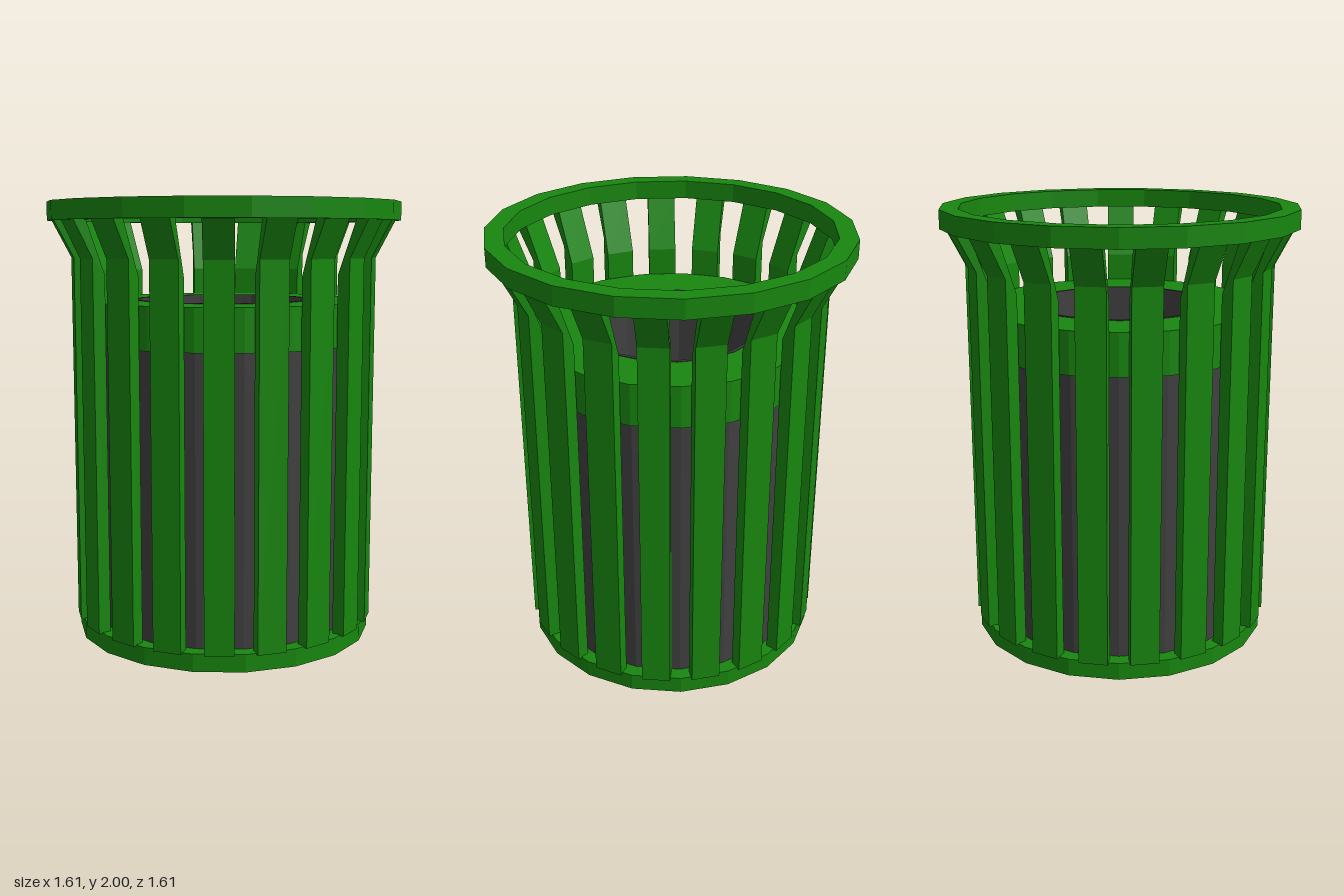
import * as THREE from 'three';

const SIDES = 19;
const green = new THREE.MeshStandardMaterial({ color: 0x18860f, flatShading: true });
const dark = new THREE.MeshStandardMaterial({ color: 0x404040, flatShading: true });

// Faceted ring or solid from a counter-clockwise (radius, height) profile; a flat side faces +z
function turned(name, profile, material) {
  const points = profile.map(([r, y]) => new THREE.Vector2(r, y));
  const mesh = new THREE.Mesh(new THREE.LatheGeometry(points, SIDES, Math.PI), material);
  mesh.name = name;
  return mesh;
}

function band(name, inner, outer, bottom, top) {
  return turned(name, [[inner, bottom], [outer, bottom], [outer, top], [inner, top], [inner, bottom]], green);
}

export function createModel() {
  const model = new THREE.Group();
  model.name = 'litterBin';

  // Base plate, top rim and lid collar
  model.add(turned('base', [[0, 0], [0.69, 0], [0.69, 0.08], [0, 0.08]], green));
  model.add(band('topRim', 0.725, 0.81, 1.915, 2));
  model.add(band('lid', 0.41, 0.64, 1.365, 1.555));

  // Dark inner can with a thin lip lining the lid opening
  model.add(turned('innerCan', [
    [0, 0.08], [0.625, 0.08], [0.625, 1.365], [0.41, 1.365],
    [0.41, 1.558], [0.395, 1.558], [0.395, 0.12], [0, 0.12],
  ], dark));

  // Vertical slats that flare outwards to meet the rim
  const width = 0.13;
  const profile = new THREE.Shape([
    [0.64, 0.075], [0.697, 0.075], [0.697, 1.75], [0.785, 1.92], [0.727, 1.92], [0.64, 1.68],
  ].map(([r, y]) => new THREE.Vector2(r, y)));
  const slatGeometry = new THREE.ExtrudeGeometry(profile, { depth: width, bevelEnabled: false });
  slatGeometry.translate(0, 0, -width / 2).rotateY(-Math.PI / 2);

  const slats = new THREE.Group();
  slats.name = 'slats';
  for (let i = 0; i < SIDES; i++) {
    const slat = new THREE.Mesh(slatGeometry, green);
    slat.name = 'slat';
    slat.rotation.y = (i / SIDES) * Math.PI * 2;
    slats.add(slat);
  }
  model.add(slats);

  return model;
}
